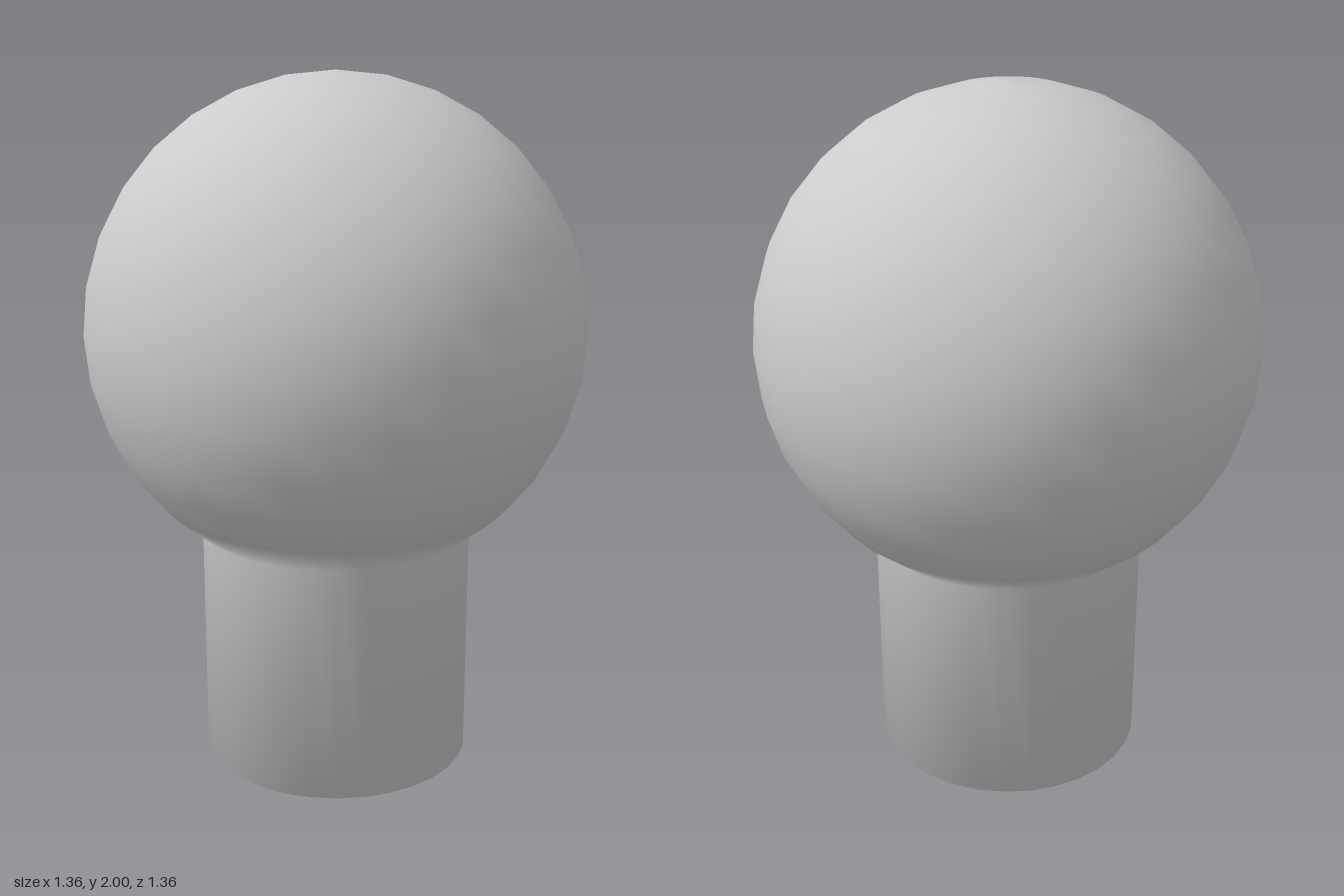
import * as THREE from 'three';

export function createModel() {
  const group = new THREE.Group();
  const radius = 0.68, centreY = 1.32, sides = 32;
  const step = (Math.PI * 2) / sides;

  // Profile from the pointed base, up the neck and around the globe
  const profile = [new THREE.Vector2(0, 0), new THREE.Vector2(radius * Math.cos(5 * step), 0.095)];
  for (let i = -5; i <= 8; i++) {
    const r = i === 8 ? 0 : radius * Math.cos(i * step);
    profile.push(new THREE.Vector2(r, centreY + radius * Math.sin(i * step)));
  }

  // Globe and neck are one smooth turned surface
  const bulb = new THREE.Mesh(
    new THREE.LatheGeometry(profile, sides),
    new THREE.MeshStandardMaterial({ color: 0xcccccc })
  );
  bulb.name = 'bulb';
  group.add(bulb);
  return group;
}
